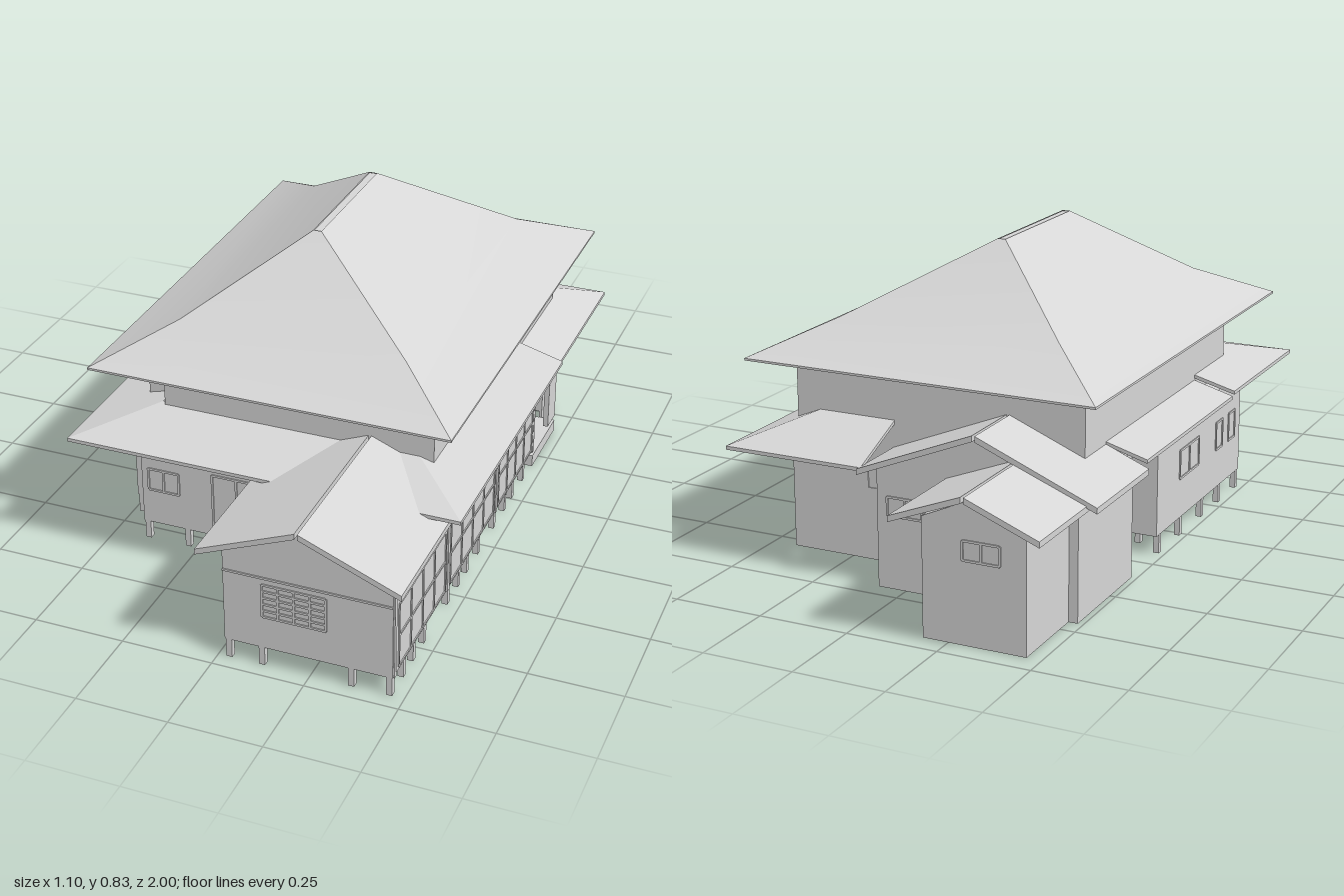
import * as THREE from 'three';

const grey = new THREE.MeshStandardMaterial({ color: 0xd6d6d6, side: THREE.DoubleSide });
grey.name = 'plain grey';

export function createModel() {
  const root = new THREE.Group();
  root.name = 'house';

  const add = (name, geometry, parent = root) => {
    const mesh = new THREE.Mesh(geometry, grey);
    mesh.name = name;
    parent.add(mesh);
    return mesh;
  };
  const group = (name) => {
    const g = new THREE.Group();
    g.name = name;
    root.add(g);
    return g;
  };
  // Box given by its limits
  const box = (name, x0, x1, y0, y1, z0, z1, parent) =>
    add(name, new THREE.BoxGeometry(x1 - x0, y1 - y0, z1 - z0)
      .translate((x0 + x1) / 2, (y0 + y1) / 2, (z0 + z1) / 2), parent);

  // Sloping roof slab: four top corners, dropped by a thickness
  const slab = (name, corners, t, parent) => {
    const p = corners.map((c) => new THREE.Vector3(...c));
    const n = p[2].clone().sub(p[0]).cross(p[3].clone().sub(p[1]));
    if (n.y < 0) p.reverse();
    const q = p.map((v) => v.clone().setY(v.y - t));
    const tris = [];
    const quad = (a, b, c, d) => tris.push(a, b, c, a, c, d);
    quad(...p);
    quad(q[3], q[2], q[1], q[0]);
    for (let i = 0; i < 4; i++) {
      const j = (i + 1) % 4;
      quad(p[i], q[i], q[j], p[j]);
    }
    const g = new THREE.BufferGeometry().setFromPoints(tris);
    g.computeVertexNormals();
    return add(name, g, parent);
  };

  // Smooth bent roof sheet through pairs of points from eave to ridge
  const sheet = (name, rows, drop, parent) => {
    const pts = rows.flat().map(([x, y, z]) => new THREE.Vector3(x, y - drop, z));
    const index = [];
    for (let i = 0; i < rows.length - 1; i++) {
      const [a, b, c, d] = [0, 1, 2, 3].map((k) => 2 * i + k);
      if (drop) index.push(a, d, b, a, c, d);
      else index.push(a, b, d, a, d, c);
    }
    const g = new THREE.BufferGeometry().setFromPoints(pts);
    g.setIndex(index);
    g.computeVertexNormals();
    return add(name, g, parent);
  };
  // Corners of a level rectangle, anticlockwise from above
  const corners = (r) => [[r.x0, r.y, r.z1], [r.x1, r.y, r.z1], [r.x1, r.y, r.z0], [r.x0, r.y, r.z0]];

  // Gabled roof with its ridge along z
  const gableRoof = (name, x0, x1, z0, z1, eave, ridge) => {
    const g = group(name), m = (x0 + x1) / 2;
    for (const [e, r] of [[x0, m - 0.004], [x1, m + 0.004]])
      slab('roofSlope', [[e, eave, z0], [r, ridge, z0], [r, ridge, z1], [e, eave, z1]], 0.016, g);
  };
  // Gabled wall block under such a roof
  const gableBlock = (name, x0, x1, y0, yWall, yTop, z0, z1) => {
    const s = new THREE.Shape();
    s.moveTo(x0, y0);
    s.lineTo(x1, y0);
    s.lineTo(x1, yWall);
    s.lineTo((x0 + x1) / 2, yTop);
    s.lineTo(x0, yWall);
    s.closePath();
    add(name, new THREE.ExtrudeGeometry(s, { depth: z1 - z0, bevelEnabled: false }).translate(0, 0, z0));
  };

  // Upper hipped roof with flared eaves
  const top = group('upperRoof');
  const ridge = { x0: -0.05, x1: -0.028, z0: -0.22, z1: 0.19, y: 0.835 };
  const rings = [
    { x0: -0.51, x1: 0.495, z0: -0.66, z1: 0.63, y: 0.552 },
    { x0: -0.325, x1: 0.31, z0: -0.47, z1: 0.45, y: 0.643 },
    ridge,
  ].map(corners);
  for (let i = 0; i < 4; i++) {
    const j = (i + 1) % 4;
    const rows = rings.map((r) => [r[i], r[j]]);
    sheet('roofSlope', rows, 0, top);
    sheet('roofUnderside', rows, 0.006, top);
    const [a, b] = rows[0];
    const lower = ([x, y, z]) => [x, y - 0.006, z];
    sheet('eaveEdge', [[lower(a), lower(b)], [a, b]], 0, top);
  }
  slab('ridgeCap', corners({ ...ridge, y: 0.833 }), 0.006, top);

  // Upper storey walls
  box('upperWalls', -0.35, 0.41, 0.3, 0.575, -0.54, 0.51);
  box('upperSideBay', -0.43, -0.35, 0.3, 0.575, -0.54, 0.44);

  // Skirt roof around the lower storey
  const skirt = group('skirtRoof');
  const F = 0.69, iz = 0.5, L = -0.55, R = 0.545, il = -0.36, ir = 0.362, e = 0.363, h = 0.414;
  slab('frontSkirt', [[L, e, F], [R, e, F], [ir, h, iz], [il, h, iz]], 0.01, skirt);
  slab('rightSkirt', [[R, e, F], [R, e, -0.19], [ir, h, -0.19], [ir, h, iz]], 0.01, skirt);
  slab('leftSkirt', [[L, e, F], [L, e, 0.21], [il, h, 0.21], [il, h, iz]], 0.01, skirt);
  slab('leftRearSkirt', [[-0.545, 0.348, 0.21], [-0.545, 0.348, -0.41], [il, 0.4, -0.41], [il, 0.4, 0.21]], 0.01, skirt);
  slab('rearRightSkirt', [[0.522, 0.325, -0.09], [0.522, 0.325, -0.722], [0.34, 0.4, -0.54], [0.34, 0.4, -0.09]], 0.01, skirt);
  slab('rearSkirt', [[0.522, 0.325, -0.722], [0.115, 0.325, -0.722], [0.115, 0.4, -0.54], [0.34, 0.4, -0.54]], 0.01, skirt);

  // Raised lower storey
  box('mainRoom', -0.41, 0.47, 0.055, 0.355, -0.19, 0.55);
  box('leftBay', -0.485, -0.41, 0.055, 0.345, -0.19, 0.44);
  box('rearRoom', -0.41, 0.37, 0.055, 0.345, -0.5, -0.19);
  gableBlock('frontWing', 0.02, 0.47, 0.055, 0.328, 0.423, 0.5, 0.96);
  gableRoof('frontWingRoof', -0.035, 0.505, 0.45, 1.0, 0.335, 0.443);

  // Rear blocks, floored like the rest, with walls reaching the ground
  box('cornerRoom', 0.08, 0.43, 0.055, 0.34, -0.54, -0.41);
  gableBlock('rearBlock', -0.485, 0.08, 0.055, 0.325, 0.442, -0.7, -0.36);
  gableRoof('rearBlockRoof', -0.55, 0.12, -0.735, -0.41, 0.325, 0.46);
  gableBlock('rearWing', -0.46, -0.18, 0.055, 0.315, 0.378, -0.94, -0.7);
  gableRoof('rearWingRoof', -0.522, -0.12, -1.0, -0.7, 0.325, 0.402);
  const base = group('rearBase');
  const w = 0.008;
  const rearBase = (x0, x1, z0, z1) => {
    box('baseWall', x0, x0 + w, 0, 0.056, z0, z1, base);
    box('baseWall', x1 - w, x1, 0, 0.056, z0, z1, base);
    box('baseWall', x0, x1, 0, 0.056, z0, z0 + w, base);
  };
  rearBase(0.08, 0.43, -0.54, -0.41);
  rearBase(-0.485, 0.08, -0.7, -0.36);
  rearBase(-0.46, -0.18, -0.94, -0.7);

  // Entry porch
  box('porchFloor', 0.37, 0.47, 0, 0.035, -0.41, -0.19);
  box('porchWall', 0.455, 0.47, 0.05, 0.325, -0.41, -0.34);

  // Stilts under the raised floor
  const stilts = group('stilts');
  const stilt = (x, z) => box('stilt', x - 0.008, x + 0.008, 0, 0.056, z - 0.008, z + 0.008, stilts);
  for (const z of [0.95, 0.87, 0.8, 0.72]) for (const x of [0.03, 0.12, 0.36, 0.46]) stilt(x, z);
  for (const z of [0.54, 0.455, 0.385, 0.29, 0.155, 0.06, -0.01, -0.11])
    for (const x of [-0.4, -0.28, 0.06, 0.46]) stilt(x, z);
  for (const z of [0.43, 0.29, 0.155, -0.01, -0.16]) stilt(-0.475, z);

  // Window frames: laid out on a flat panel, then turned onto a wall
  const frame = (name, width, height, cols, rows, x, y, z, turn) => {
    const g = group(name), b = 0.006, d = 0.003;
    for (let i = 0; i <= cols; i++) {
      const u = -width / 2 + (width * i) / cols;
      box('mullion', u - b / 2, u + b / 2, 0, height, 0, d, g);
    }
    for (let i = 0; i <= rows; i++) {
      const v = (height * i) / rows;
      box('rail', -width / 2, width / 2, v - b / 2, v + b / 2, 0, d, g);
    }
    g.position.set(x, y, z);
    g.rotation.y = turn;
  };
  const right = Math.PI / 2, back = Math.PI, left = -Math.PI / 2;

  // Long window wall on the right
  for (const [a, b] of [[0.58, 0.92], [0.18, 0.54], [-0.17, 0.14]]) {
    frame('slidingWindow', b - a, 0.185, 4, 2, 0.47, 0.065, (a + b) / 2, right);
    frame('transomWindow', b - a, 0.03, 2, 1, 0.47, 0.27, (a + b) / 2, right);
  }
  for (const z of [0.95, 0.56, 0.16, -0.18]) box('wallPost', 0.465, 0.474, 0.055, 0.325, z - 0.007, z + 0.007);

  // Front windows and doors
  frame('frontWindow', 0.09, 0.065, 2, 1, -0.345, 0.16, 0.55, 0);
  frame('frontDoors', 0.21, 0.18, 3, 1, -0.095, 0.066, 0.55, 0);
  frame('slattedWindow', 0.17, 0.095, 4, 5, 0.21, 0.15, 0.96, 0);
  box('frontBeam', 0.02, 0.47, 0.262, 0.268, 0.96, 0.963);

  // Left and rear windows
  frame('leftWindow', 0.14, 0.08, 2, 1, -0.485, 0.17, 0.04, left);
  for (const z of [0.27, 0.37]) frame('smallLeftWindow', 0.05, 0.08, 1, 1, -0.485, 0.17, z, left);
  frame('rearWingWindow', 0.1, 0.05, 2, 1, -0.34, 0.22, -0.94, back);
  frame('rearBlockWindow', 0.1, 0.05, 2, 1, 0, 0.2, -0.7, back);
  frame('cornerWindow', 0.08, 0.06, 2, 1, 0.16, 0.2, -0.54, back);
  return root;
}
